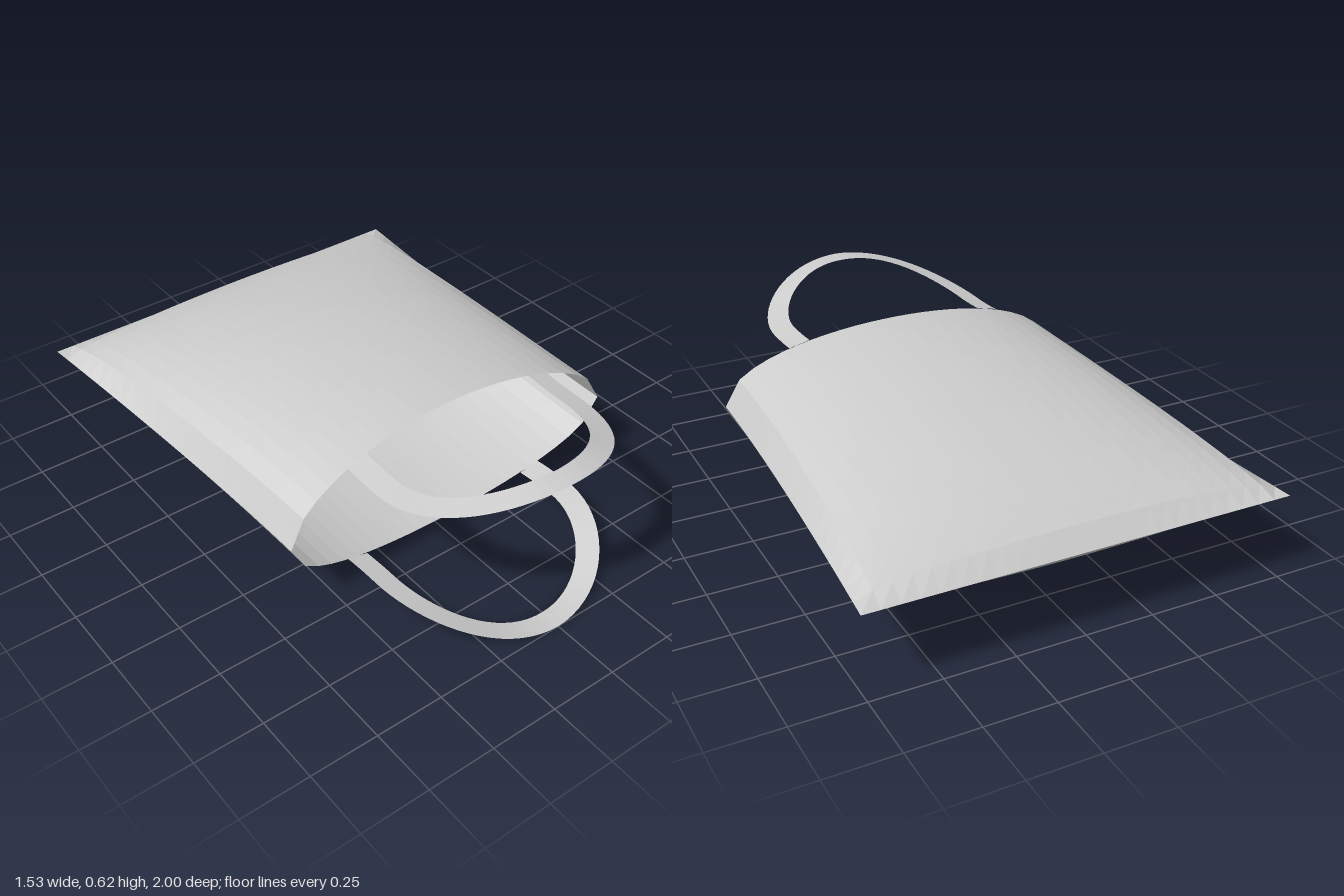
import * as THREE from 'three';

const MID = 0.31; // height of the seam between the two panels

// Grid surface from a point rule, u and v in 0..1
function surface(nu, nv, rule, material, name) {
  const pos = [], idx = [];
  for (let j = 0; j <= nv; j++)
    for (let i = 0; i <= nu; i++) pos.push(...rule(i / nu, j / nv));
  for (let j = 0; j < nv; j++)
    for (let i = 0; i < nu; i++) {
      const a = j * (nu + 1) + i, b = a + 1, c = a + nu + 1, d = c + 1;
      idx.push(a, c, b, b, c, d);
    }
  const g = new THREE.BufferGeometry();
  g.setAttribute('position', new THREE.Float32BufferAttribute(pos, 3));
  g.setIndex(idx);
  g.computeVertexNormals();
  const mesh = new THREE.Mesh(g, material);
  mesh.name = name;
  return mesh;
}

// Puffed panel: u runs across, v from the closed bottom seam to the open mouth
function panelPoint(u, v, side) {
  const s = u * 2 - 1;
  const w = 0.677 + 0.086 * Math.pow(1 - v, 1.5);
  const mouthZ = 0.4 + 0.05 * s * s;
  const across = Math.sqrt(Math.max(0, 1 - s * s));
  const along = Math.pow(Math.max(0, 1 - (1 - v) ** 2), 0.625);
  return [s * w, MID + side * 0.255 * across * along, -1 + v * (mouthZ + 1)];
}

// Flat strap: straight ends, then a half ring that lifts away from the bag
function strapPoint(u, v, side) {
  const r = 0.35 + 0.08 * u;
  const ends = 0.12;
  const a = Math.PI * THREE.MathUtils.clamp((v - ends) / (1 - 2 * ends), 0, 1);
  const t = Math.max(0, (ends - v) / ends, (v - 1 + ends) / ends); // 1 at the bag
  const x = r * Math.cos(a);
  const z = 0.57 + r * Math.sin(a) - 0.155 * t;
  const tilt = (0.5 - u) * 0.018 * Math.abs(Math.cos(a));
  const lift = 0.202 + 0.108 * Math.sin(a) ** 2 + tilt + 0.008 * t * t;
  return [x, MID + side * lift, z];
}

export function createModel() {
  const model = new THREE.Group();
  model.name = 'toteBag';
  const fabric = new THREE.MeshStandardMaterial({ color: 0xcccccc });
  fabric.name = 'light grey fabric';
  fabric.side = THREE.DoubleSide;
  fabric.flatShading = true;

  for (const [side, label] of [[1, 'upper'], [-1, 'lower']]) {
    // Mirrored rule order keeps the front faces outward
    const flip = (u) => (side > 0 ? u : 1 - u);
    model.add(surface(24, 20, (u, v) => panelPoint(flip(u), v, side), fabric, label + 'Panel'));
    model.add(surface(2, 50, (u, v) => strapPoint(1 - flip(u), v, side), fabric, label + 'Handle'));
  }
  return model;
}
